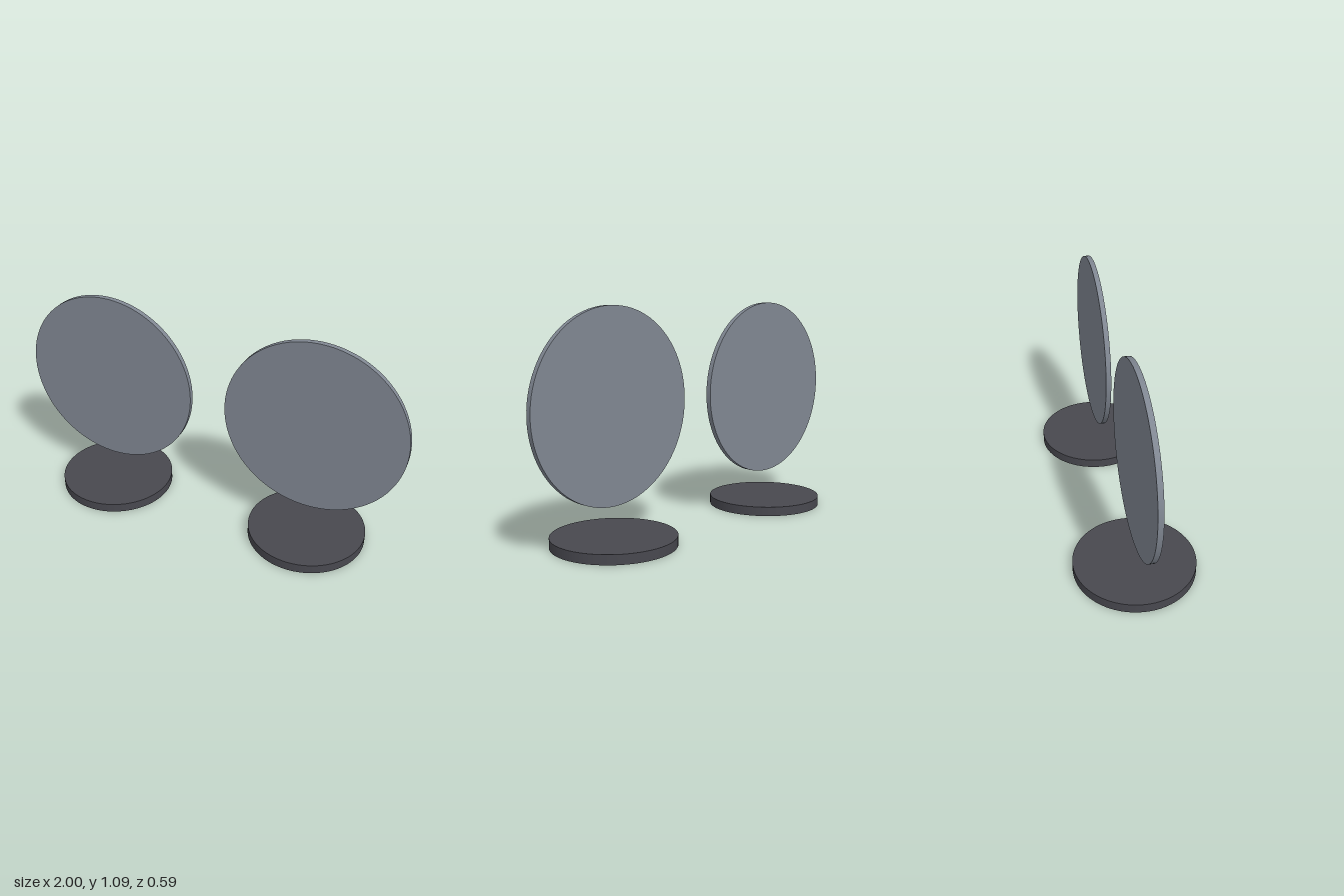
import * as THREE from 'three';

export function createModel() {
  const model = new THREE.Group();
  const paleGrey = new THREE.MeshStandardMaterial({ color: 0x808792 });
  paleGrey.name = 'paleGrey';
  const darkGrey = new THREE.MeshStandardMaterial({ color: 0x48484f });
  darkGrey.name = 'darkGrey';

  // Upright disc, its flat faces towards +z and -z
  const discGeometry = new THREE.CylinderGeometry(0.454, 0.454, 0.026, 96).rotateX(Math.PI / 2);
  // Flat round base standing on the ground
  const baseGeometry = new THREE.CylinderGeometry(0.295, 0.295, 0.047, 96);

  // A matching pair, left and right
  for (const [side, sign] of [['left', 1], ['right', -1]]) {
    const pair = new THREE.Group();
    pair.name = side + 'Unit';
    pair.position.x = sign * 0.546;

    const disc = new THREE.Mesh(discGeometry, paleGrey);
    disc.name = side + 'Disc';
    disc.position.y = 0.638;

    const base = new THREE.Mesh(baseGeometry, darkGrey);
    base.name = side + 'Base';
    base.position.y = 0.0235;

    pair.add(disc, base);
    model.add(pair);
  }
  return model;
}
